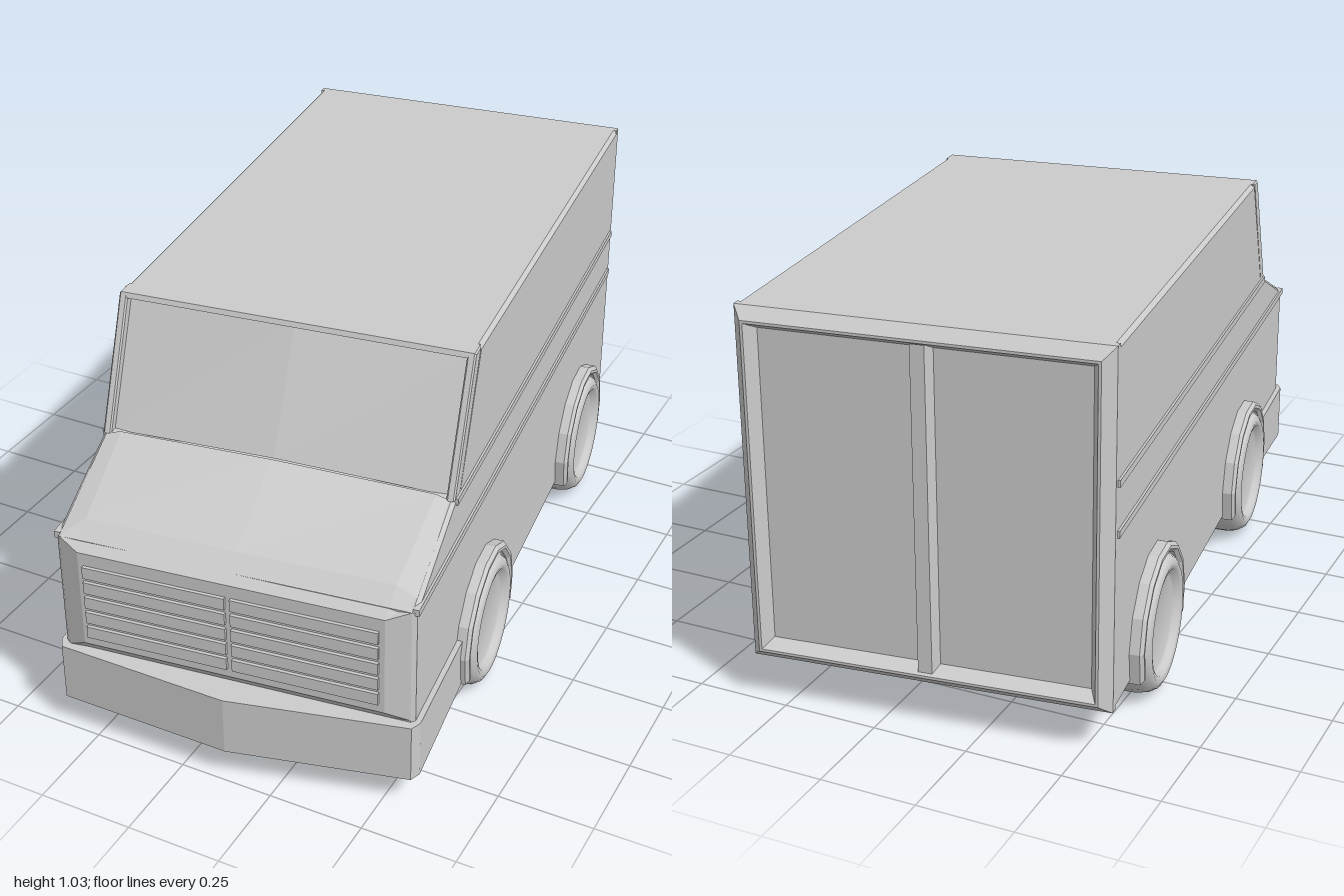
import * as THREE from 'three';
import { toCreasedNormals } from 'three/addons/utils/BufferGeometryUtils.js';

const grey = new THREE.MeshStandardMaterial({ color: 0xcccccc });
const skin = new THREE.MeshStandardMaterial({ color: 0xcccccc, side: THREE.DoubleSide });
const HALF = 0.463, WHEEL_Y = 0.182, AXLES = [0.39, -0.585];

export function createModel() {
  const model = new THREE.Group();
  const van = new THREE.Group();
  van.name = 'van';
  van.rotation.y = THREE.MathUtils.degToRad(6.9);
  model.add(van);

  const add = (name, geometry, material = grey) => {
    const mesh = new THREE.Mesh(geometry, material);
    mesh.name = name;
    van.add(mesh);
    return mesh;
  };
  const box = (name, w, h, d, x, y, z) =>
    add(name, new THREE.BoxGeometry(w, h, d)).position.set(x, y, z);

  // Extrudes a [z, y] outline across the van from x0 to x1
  const across = (points, x0, x1, bevel = 0) => {
    const shape = new THREE.Shape(points.map(p => new THREE.Vector2(...p)));
    const geo = new THREE.ExtrudeGeometry(shape, {
      depth: x1 - x0 - 2 * bevel, bevelEnabled: bevel > 0, bevelThickness: bevel,
      bevelSize: bevel, bevelOffset: -bevel, bevelSegments: 1,
    });
    return geo.rotateY(-Math.PI / 2).translate(x1 - bevel, 0, 0);
  };

  // Faceted surface through rows of [x, y, z] points
  const facets = rows => {
    const pos = [], index = [], n = rows[0].length;
    rows.forEach(row => row.forEach(p => pos.push(...p)));
    for (let r = 0; r < rows.length - 1; r++) {
      for (let c = 0; c < n - 1; c++) {
        const a = r * n + c, b = a + n;
        index.push(a, b, a + 1, b, b + 1, a + 1);
      }
    }
    const geo = new THREE.BufferGeometry();
    geo.setAttribute('position', new THREE.Float32BufferAttribute(pos, 3));
    geo.setIndex(index);
    const flat = geo.toNonIndexed();
    flat.computeVertexNormals();
    return flat;
  };

  // Points of a wheel arch from angle a0 to a1
  const arc = (z, r, a0, a1, steps = 9) => Array.from({ length: steps + 1 }, (_, i) => {
    const a = a0 + (a1 - a0) * i / steps;
    return [z + r * Math.cos(a), WHEEL_Y + r * Math.sin(a)];
  });

  // Body with full-width wheel tunnels
  const low = Math.asin((0.11 - WHEEL_Y) / 0.195);
  const tunnel = z => arc(z, 0.195, Math.PI - low, low);
  add('body', across([
    [-0.915, 0.11], ...tunnel(AXLES[1]), ...tunnel(AXLES[0]), [0.92, 0.11],
    [0.92, 0.57], [0.64, 0.70], [0.605, 0.705], [0.462, 1.03], [-0.915, 1.03],
  ], -HALF, HALF, 0.01));

  // Hood, front panel and their chamfers in one mirrored skin
  const mirrorRow = (edge, inner, mid) => {
    const flip = ([x, y, z]) => [-x, y, z];
    return [flip(edge), flip(inner), mid, inner, edge];
  };
  add('hoodAndNose', facets([
    mirrorRow([0.453, 0.70, 0.637], [0.415, 0.71, 0.635], [0, 0.73, 0.655]),
    mirrorRow([0.453, 0.588, 0.885], [0.40, 0.605, 0.875], [0, 0.605, 0.88]),
    mirrorRow([0.453, 0.57, 0.92], [0.395, 0.55, 0.943], [0, 0.55, 0.943]),
    mirrorRow([0.453, 0.25, 0.92], [0.395, 0.275, 0.943], [0, 0.275, 0.943]),
    mirrorRow([0.453, 0.24, 0.92], [0.395, 0.245, 0.92], [0, 0.245, 0.92]),
  ]), skin);

  // Windshield, creased down the middle, within its frame
  add('windshield', facets([
    [[-0.445, 1.02, 0.474], [0, 1.02, 0.482], [0.445, 1.02, 0.474]],
    [[-0.445, 0.70, 0.617], [0, 0.725, 0.642], [0.445, 0.70, 0.617]],
  ]), skin);
  const pillar = [[0.455, 1.03], [0.595, 0.70], [0.64, 0.70], [0.498, 1.03]];
  add('leftPillar', across(pillar, HALF - 0.022, HALF, 0.004));
  add('rightPillar', across(pillar, -HALF, -HALF + 0.022, 0.004));
  add('windshieldHeader', across(
    [[0.45, 1.03], [0.45, 1.017], [0.503, 1.017], [0.498, 1.03]], -HALF + 0.005, HALF - 0.005));

  // Grille slats in two columns
  for (let row = 0; row < 5; row++) {
    for (const s of [-1, 1]) {
      box('grilleSlat', 0.374, 0.033, 0.014, s * 0.194, 0.498 - row * 0.045, 0.945);
    }
  }

  // Bumper: shallow V in plan, its underside rising towards the wheels
  const plan = [[-0.477, -0.58], [0.477, -0.58], [0.477, -0.915], [0.463, -0.942],
    [0, -1.0], [-0.463, -0.942], [-0.477, -0.915]];
  const bumper = new THREE.ExtrudeGeometry(
    new THREE.Shape(plan.map(p => new THREE.Vector2(...p))), { depth: 0.16, bevelEnabled: false });
  bumper.rotateX(-Math.PI / 2).translate(0, 0.085, 0);
  const p = bumper.attributes.position;
  for (let i = 0; i < p.count; i++) {
    if (p.getY(i) < 0.1 && p.getZ(i) < 0.6) p.setY(i, 0.107);
  }
  bumper.computeVertexNormals();
  add('bumper', bumper);

  // Chamfered rear frame around two recessed doors
  const loop = (inset, z) => {
    const w = HALF - inset, b = 0.11 + inset, t = 1.03 - inset;
    return [[w, b, z], [w, t, z], [-w, t, z], [-w, b, z], [w, b, z]];
  };
  add('rearFrame', facets([loop(0, -0.905), loop(0, -0.925), loop(0.028, -0.957),
    loop(0.035, -0.957), loop(0.055, -0.92)]), skin);
  for (const s of [-1, 1]) box('rearDoor', 0.41, 0.82, 0.012, s * 0.205, 0.57, -0.915);
  add('rearDoorPost', facets([
    [[-0.03, 0.15, -0.918], [-0.018, 0.15, -0.95], [0.018, 0.15, -0.95], [0.03, 0.15, -0.918]],
    [[-0.03, 0.99, -0.918], [-0.018, 0.99, -0.95], [0.018, 0.99, -0.95], [0.03, 0.99, -0.918]],
  ]), skin);

  // Wheel: rounded tyre with a recessed hub disc
  const profile = [[0, -0.1], [0.13, -0.1], [0.158, -0.094], [0.175, -0.078], [0.182, -0.05],
    [0.182, 0.045], [0.177, 0.072], [0.165, 0.092], [0.15, 0.1], [0.135, 0.096],
    [0.127, 0.082], [0.118, 0.078], [0, 0.078]].map(q => new THREE.Vector2(...q));
  const wheel = toCreasedNormals(new THREE.LatheGeometry(profile, 32), 0.8).rotateZ(-Math.PI / 2);

  for (const s of [-1, 1]) {
    // Side trim strips
    for (const [y, front] of [[0.695, 0.63], [0.568, 0.915]]) {
      box('sideTrim', 0.016, 0.018, front + 0.91, s * (HALF - 0.002), y, (front - 0.91) / 2);
    }
    AXLES.forEach((z, i) => {
      const end = i ? 'rear' : 'front';
      const mesh = add(end + 'Wheel', wheel);
      mesh.position.set(s * 0.406, WHEEL_Y, z);
      if (s < 0) mesh.rotation.y = Math.PI;
      // Faceted wheel arch flare
      const a = -0.36, outline = [...arc(z, 0.207, a, Math.PI - a), ...arc(z, 0.18, Math.PI - a, a)];
      const x = s * 0.468;
      add(end + 'ArchFlare', across(outline, x - 0.03, x + 0.03, 0.009));
    });
  }
  return model;
}
